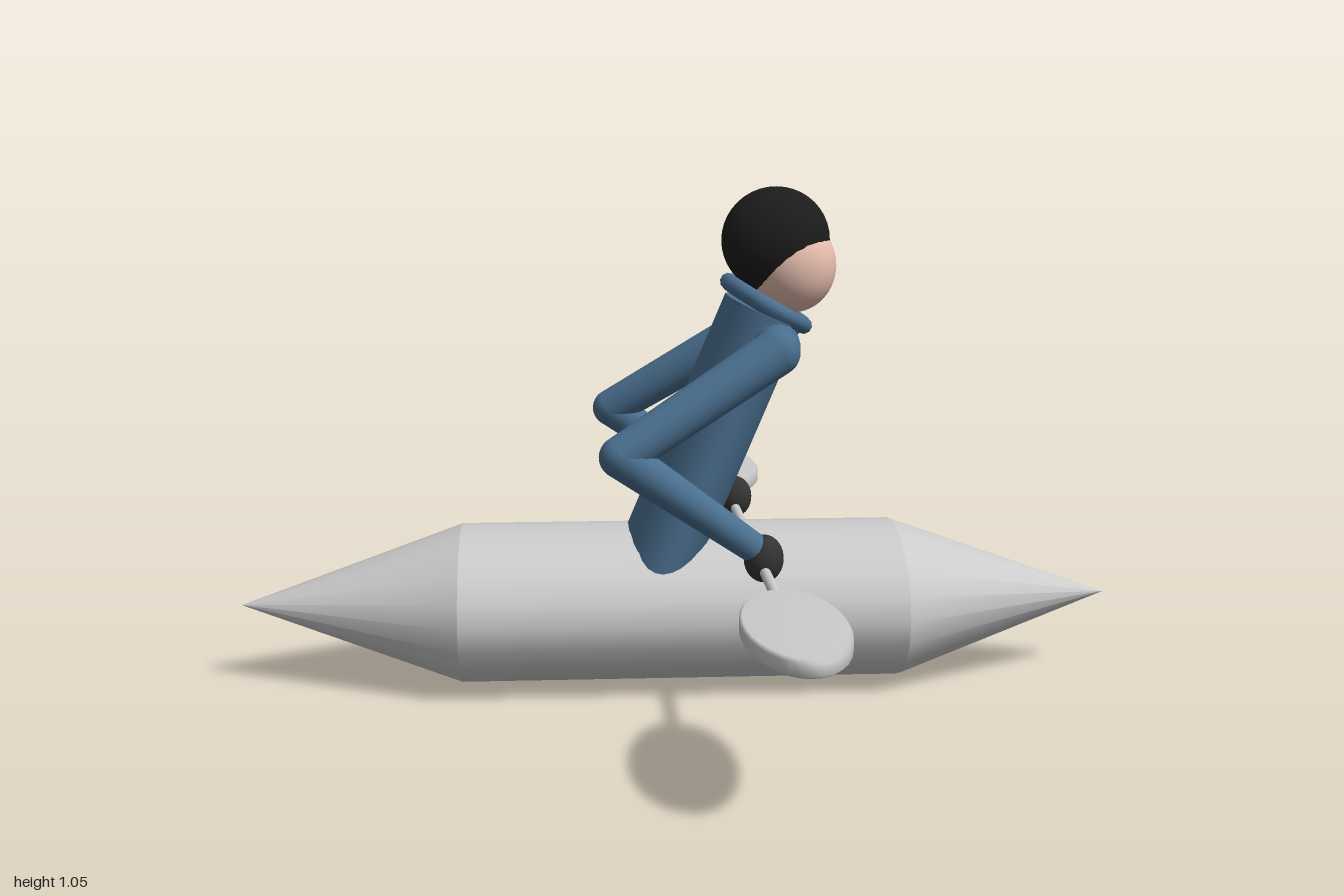
import * as THREE from 'three';

const V = (x, y, z) => new THREE.Vector3(x, y, z);
const mat = (color) => new THREE.MeshStandardMaterial({ color });

export function createModel() {
  const root = new THREE.Group();
  const grey = mat(0xcccccc), blue = mat(0x4a6f8f), dark = mat(0x333333);
  const skin = mat(0xe8bfb0), black = mat(0x1c1c1c);

  const add = (name, geometry, material, parent = root) => {
    const mesh = new THREE.Mesh(geometry, material);
    mesh.name = name;
    parent.add(mesh);
    return mesh;
  };
  // Tapered round limb running from a to b
  const limb = (name, a, b, ra, rb, material, parent) => {
    const mesh = add(name, new THREE.CylinderGeometry(rb, ra, a.distanceTo(b), 20), material, parent);
    mesh.position.copy(a).lerp(b, 0.5);
    mesh.quaternion.setFromUnitVectors(V(0, 1, 0), b.clone().sub(a).normalize());
    return mesh;
  };
  const ellipsoid = (name, center, radii, material, parent) => {
    const mesh = add(name, new THREE.SphereGeometry(1, 28, 20), material, parent);
    mesh.position.copy(center);
    mesh.scale.copy(radii);
    return mesh;
  };

  // Hull: flattened tube with a pointed cone at each end
  const hull = new THREE.Group();
  hull.name = 'hull';
  hull.position.y = 0.17;
  hull.scale.set(1, 0.165, 0.235);
  root.add(hull);
  add('hullMiddle', new THREE.CylinderGeometry(1, 1, 0.93, 20).rotateZ(Math.PI / 2), grey, hull);
  for (const s of [1, -1]) {
    const cone = add(s > 0 ? 'bow' : 'stern',
      new THREE.ConeGeometry(1, 0.47, 20).rotateZ(-s * Math.PI / 2), grey, hull);
    cone.position.x = s * 0.7;
  }

  // Torso leaning forward, with a ring collar around its top
  const body = new THREE.Group();
  body.name = 'body';
  body.position.set(0.185, 0.81, 0);
  body.rotation.z = -0.4;
  root.add(body);
  const torso = add('torso', new THREE.CylinderGeometry(1, 1, 0.62, 32), blue, body);
  torso.scale.set(0.085, 1, 0.187);
  torso.position.y = -0.325;
  const ring = [];
  for (let i = 0; i < 24; i++) {
    const a = i / 24 * Math.PI * 2;
    ring.push(V(0.09 * Math.cos(a), 0, 0.165 * Math.sin(a)));
  }
  const collar = add('collar',
    new THREE.TubeGeometry(new THREE.CatmullRomCurve3(ring, true), 48, 0.018, 10, true), blue, body);
  collar.rotation.z = -0.12;

  // Head and hair
  ellipsoid('head', V(0.242, 0.89, 0), V(0.092, 0.1, 0.084), skin);
  ellipsoid('hair', V(0.205, 0.943, 0), V(0.115, 0.112, 0.085), black);

  for (const s of [1, -1]) {
    // Arm bent back at the elbow, hand gripping the shaft
    const arm = new THREE.Group();
    arm.name = s > 0 ? 'leftArm' : 'rightArm';
    root.add(arm);
    const shoulder = V(0.18, 0.735, s * 0.245);
    const elbow = V(-0.135, 0.54, s * 0.323);
    const wrist = V(0.14, 0.345, s * 0.312);
    limb('shoulder', V(0.19, 0.735, s * 0.15), shoulder, 0.05, 0.048, blue, arm);
    ellipsoid('shoulderJoint', shoulder, V(0.048, 0.048, 0.045), blue, arm);
    limb('upperArm', shoulder, elbow, 0.048, 0.042, blue, arm);
    ellipsoid('elbow', elbow, V(0.042, 0.042, 0.042), blue, arm);
    limb('forearm', elbow, wrist, 0.042, 0.03, blue, arm);
    ellipsoid('hand', V(0.15, 0.33, s * 0.31), V(0.04, 0.048, 0.038), dark, arm);

    // Flat oval paddle blade with softened rim
    const r = [[0, -0.017], [0.95, -0.017], [1, -0.011], [1, 0.011], [0.95, 0.017], [0, 0.017]];
    const blade = add(s > 0 ? 'leftBlade' : 'rightBlade',
      new THREE.LatheGeometry(r.map(([x, y]) => new THREE.Vector2(x, y)), 32), grey);
    blade.scale.set(0.096, 1, 0.237);
    blade.position.set(0.155, 0.308, s * 0.763);
  }

  // Paddle shaft
  limb('paddleShaft', V(0.15, 0.308, -0.56), V(0.15, 0.308, 0.56), 0.011, 0.011, grey);
  return root;
}
